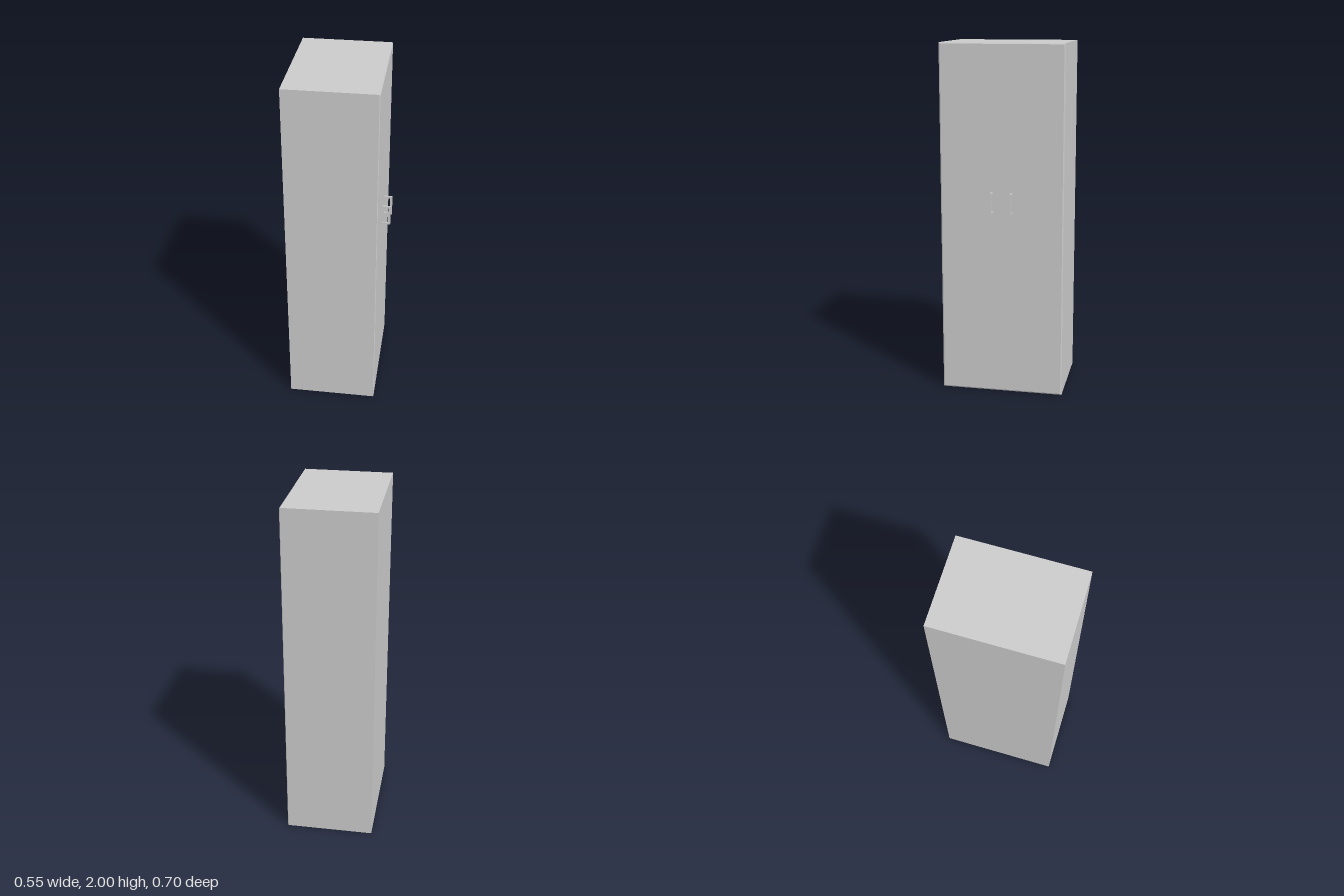
import * as THREE from 'three';

const material = new THREE.MeshStandardMaterial({ color: 0xcccccc });

// Box given by its minimum and maximum corners
function box(name, min, max) {
  const size = max.map((v, i) => v - min[i]);
  const mesh = new THREE.Mesh(new THREE.BoxGeometry(...size), material);
  mesh.position.set(...max.map((v, i) => (v + min[i]) / 2));
  mesh.name = name;
  return mesh;
}

// Thin door face whose outer (+x) edges are bevelled inwards
function doorFace(x0, x1, height, depth, bevel) {
  const mesh = box('doorFace', [x0, 0, -depth / 2], [x1, height, depth / 2]);
  const pos = mesh.geometry.attributes.position;
  for (let i = 0; i < pos.count; i++) {
    if (pos.getX(i) < 0) continue;
    pos.setY(i, pos.getY(i) - Math.sign(pos.getY(i)) * bevel);
    pos.setZ(i, pos.getZ(i) - Math.sign(pos.getZ(i)) * bevel);
  }
  mesh.geometry.computeVertexNormals();
  return mesh;
}

// Square bracket handle: upright grip with two feet
function handle(name, z) {
  const group = new THREE.Group();
  const w = 0.004;
  group.name = name;
  group.add(box('grip', [0.263, 1.06, z - w], [0.276, 1.18, z + w]));
  for (const y of [1.06, 1.169]) {
    group.add(box('handleFoot', [0.228, y, z - w], [0.263, y + 0.011, z + w]));
  }
  return group;
}

export function createModel() {
  const model = new THREE.Group();
  model.name = 'wardrobe';
  model.add(box('carcass', [-0.278, 0, -0.35], [0.226, 2, 0.35]));
  model.add(doorFace(0.226, 0.23, 2, 0.7, 0.007));
  model.add(handle('leftHandle', 0.053), handle('rightHandle', -0.057));
  return model;
}
